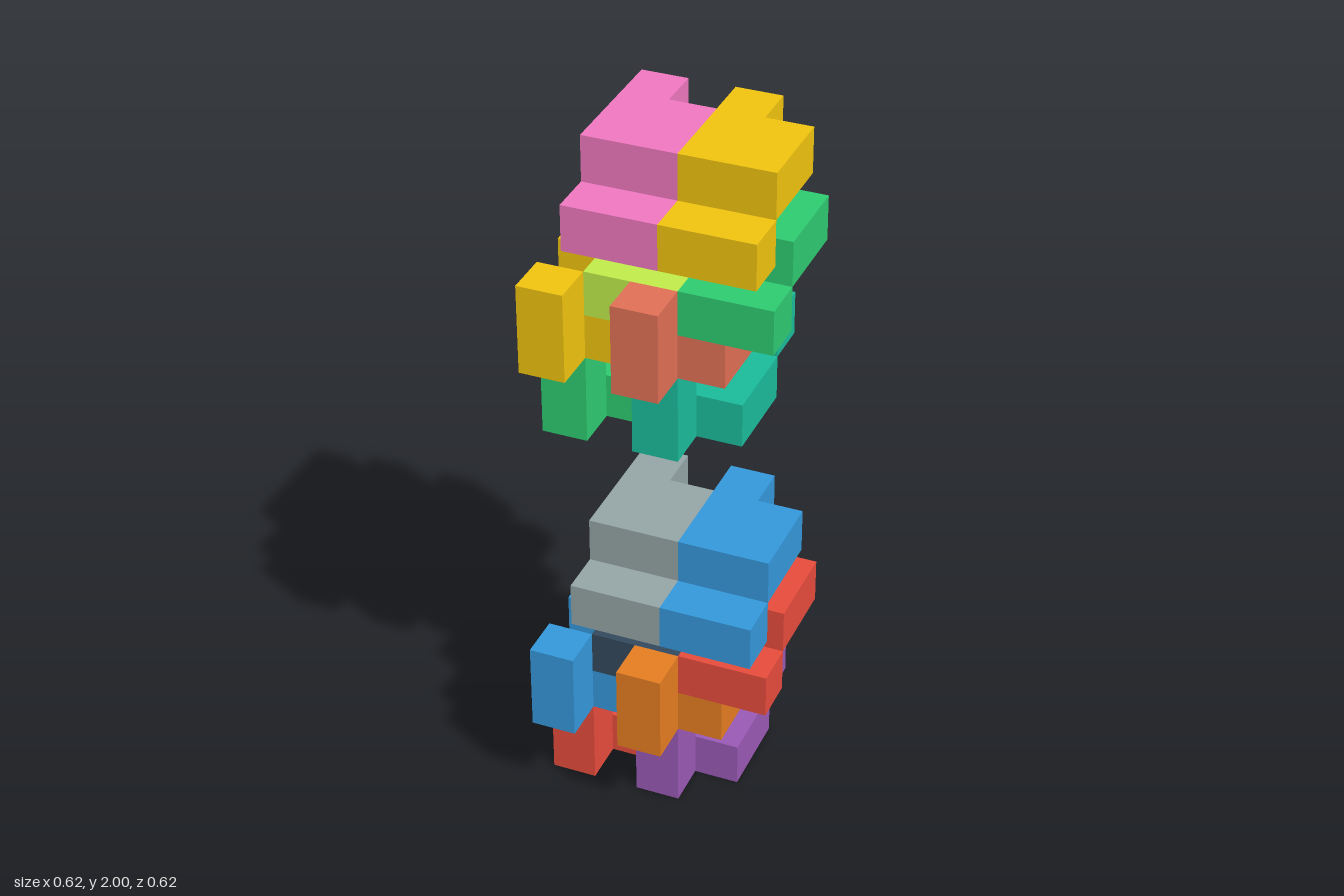
import * as THREE from 'three';
import { mergeGeometries } from 'three/addons/utils/BufferGeometryUtils.js';

const U = 0.125; // edge of one cube cell

// Cells of the hooked puzzle piece: [x, y, z] in cell units, measured from the stack centre
const CELLS = [
  [0, 3, -1], [0, 3, 0], [0, 3, 1], [1, 3, 0], [1, 3, 1], // upper plate
  [0, 2, -1],                                             // rear leg
  [0, 2, 1], [0, 2, 2], [1, 2, 2],                        // front hook
];

// Outer skin of a set of cells: a square wherever a cell has no neighbour
function skin(cells) {
  const filled = new Set(cells.map((c) => c.join()));
  const turns = [
    [0, 0], [0, Math.PI / 2], [0, Math.PI], [0, -Math.PI / 2],
    [Math.PI / 2, 0], [-Math.PI / 2, 0],
  ];
  const quads = [];
  for (const [x, y, z] of cells) {
    for (const [rx, ry] of turns) {
      const n = new THREE.Vector3(0, 0, 1).applyEuler(new THREE.Euler(rx, ry, 0)).round();
      if (filled.has([x + n.x, y + n.y, z + n.z].join())) continue;
      quads.push(new THREE.PlaneGeometry(U, U).translate(0, 0, U / 2)
        .rotateX(rx).rotateY(ry).translate(x * U, y * U, z * U));
    }
  }
  return mergeGeometries(quads);
}

// Four pieces: an outer pair and an inner pair nested one step in and two steps down
function pieceSet(geometry, colors, shift, name) {
  const group = new THREE.Group();
  group.name = name;
  ['outerLeft', 'outerRight', 'innerLeft', 'innerRight'].forEach((part, i) => {
    const material = new THREE.MeshStandardMaterial({ color: colors[i], flatShading: true });
    const mesh = new THREE.Mesh(geometry, material);
    const inner = i > 1 ? 1 : 0;
    mesh.name = part + 'Piece';
    mesh.position.set((i % 2 ? -1 : 1) * U + shift * U, -2 * inner * U, -inner * U);
    group.add(mesh);
  });
  return group;
}

// A stack: an upper set and the same set turned half a turn about x, one cell aside
function stack(geometry, upperColors, lowerColors, baseY, name) {
  const group = new THREE.Group();
  group.name = name;
  group.position.y = baseY + 3.5 * U;
  const upper = pieceSet(geometry, upperColors, 0, 'upperPieces');
  const lower = pieceSet(geometry, lowerColors, -1, 'lowerPieces');
  lower.rotation.x = Math.PI;
  group.add(upper, lower);
  return group;
}

export function createModel() {
  const model = new THREE.Group();
  model.name = 'interlockingPieces';
  const piece = skin(CELLS);

  const blue = 0x3498db, red = 0xe74c3c, green = 0x2ecc71, yellow = 0xf1c40f;
  const grey = 0x95a5a6, navy = 0x34495e, orange = 0xe67e22, purple = 0x9b59b6;
  const pink = 0xf078c0, lime = 0xc0ec4a, coral = 0xe17055, teal = 0x1abc9c;

  model.add(
    stack(piece, [blue, grey, red, navy], [purple, red, orange, blue], 0, 'lowerStack'),
    stack(piece, [yellow, pink, green, lime], [teal, green, coral, yellow], 9 * U, 'upperStack'),
  );
  return model;
}
